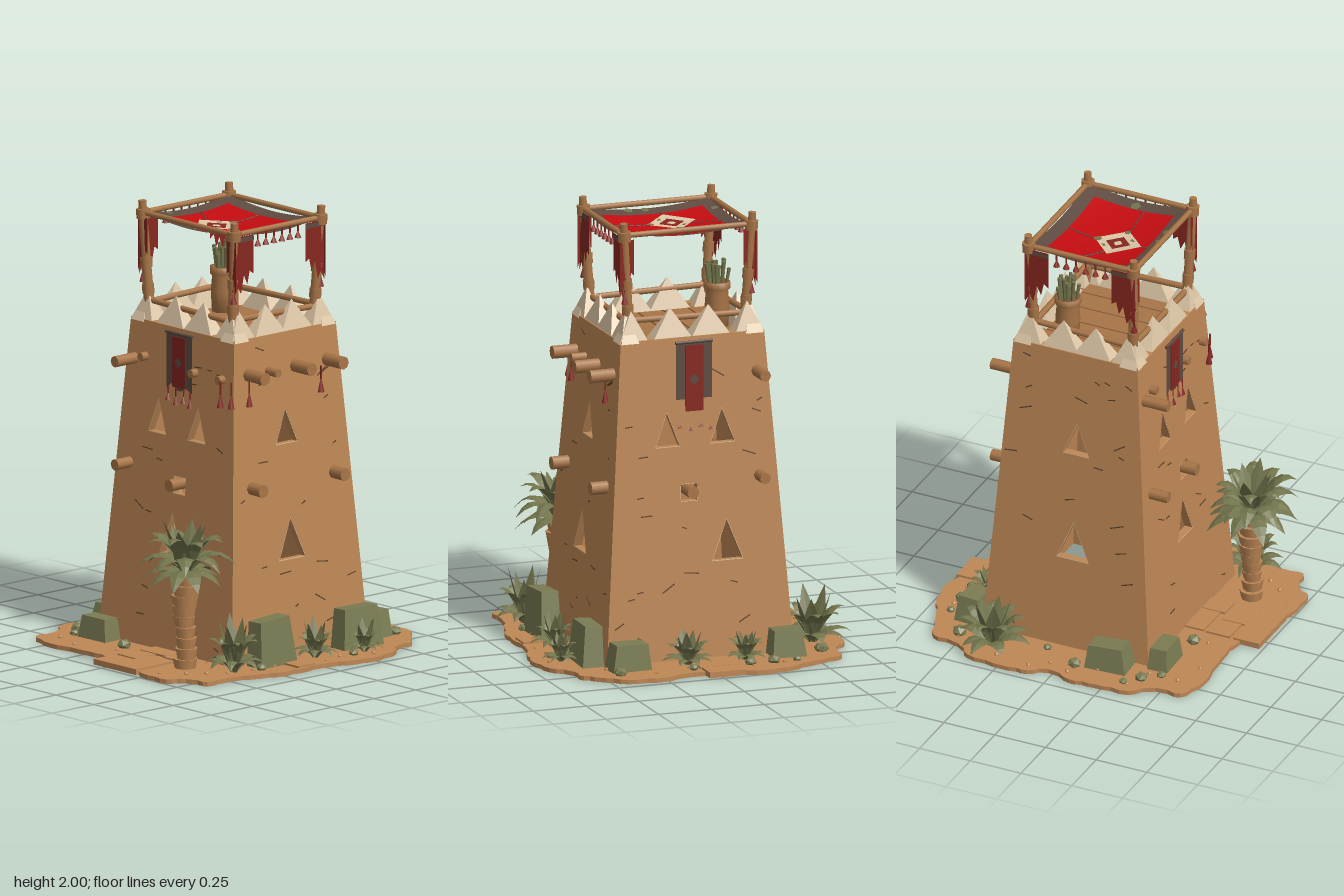
import * as THREE from 'three';

const mat = (name, color, extra = {}) => Object.assign(new THREE.MeshStandardMaterial({ color, ...extra }), { name });
const DS = { side: THREE.DoubleSide };

export function createModel() {
  const root = new THREE.Group();
  root.name = 'watchtower';
  const M = {
    clay: mat('clay', 0xbe8755),
    cream: mat('cream plaster', 0xdcc6a6, { flatShading: true }),
    earth: mat('dark earth', 0x5f432b),
    wood: mat('wood', 0xa87547),
    red: mat('red cloth', 0xc40c10, DS),
    rag: mat('dark red cloth', 0x86261f, DS),
    trim: mat('brown trim', 0x5f4b41, DS),
    stone: mat('mossy stone', 0x7b7c53, { flatShading: true }),
    leaf: mat('leaf', 0x72744c, { side: THREE.DoubleSide, flatShading: true }),
  };
  let seed = 7;
  const rnd = (a = 0, b = 1) => {
    seed = (seed * 16807) % 2147483647;
    return a + (b - a) * seed / 2147483647;
  };
  const V = (x, y, z) => new THREE.Vector3(x, y, z);
  const add = (name, geo, m, x = 0, y = 0, z = 0, parent = root) => {
    const o = new THREE.Mesh(geo, m);
    o.name = name;
    o.position.set(x, y, z);
    parent.add(o);
    return o;
  };
  const box = (name, w, h, d, m, x, y, z, p) => add(name, new THREE.BoxGeometry(w, h, d), m, x, y, z, p);
  // Round bar between two points
  const rod = (name, a, b, r, m = M.wood, p = root, r2 = r) => {
    const d = b.clone().sub(a), c = a.clone().add(b).multiplyScalar(0.5);
    const o = add(name, new THREE.CylinderGeometry(r2, r, d.length(), 8), m, c.x, c.y, c.z, p);
    o.quaternion.setFromUnitVectors(V(0, 1, 0), d.normalize());
    return o;
  };
  const poly = pts => new THREE.Shape(pts.map(p => new THREE.Vector2(p[0], p[1])));
  const tassel = (x, y, z, p = root, l = 0.07) => {
    rod('tasselCord', V(x, y, z), V(x, y - l * 0.5, z), 0.004, M.rag, p);
    add('tassel', new THREE.ConeGeometry(0.016, l * 0.6, 6), M.rag, x, y - l * 0.7, z, p);
  };

  // Ground slab with a rectangular opening under the tower
  const CZ = -0.04, H = 1.47;
  const edge = [[-.2, -.75], [-.02, -.71], [.12, -.68], [.27, -.72], [.44, -.70], [.54, -.62], [.61, -.55], [.61, -.48],
    [.69, -.38], [.72, -.24], [.70, -.12], [.66, 0], [.665, .14], [.66, .26], [.62, .38], [.58, .52], [.58, .64], [.47, .67],
    [.42, .74], [.26, .74], [.16, .70], [-.07, .64], [-.22, .63], [-.46, .65], [-.6, .6], [-.6, .48], [-.68, .38], [-.69, .22],
    [-.70, .1], [-.66, -.02], [-.71, -.1], [-.72, -.22], [-.70, -.4], [-.63, -.48], [-.61, -.61], [-.46, -.67], [-.33, -.73]];
  const outline = new THREE.CatmullRomCurve3(edge.map(p => V(p[0], -p[1], 0)), true).getPoints(148);
  const slab = poly(outline.map((p, i) => { const k = 1 - 0.012 * (i % 4 === 2); return [p.x * k, p.y * k]; }));
  slab.holes.push(poly([[-.41, -.33], [-.41, .41], [.41, .41], [.41, -.33]]));
  add('ground', new THREE.ExtrudeGeometry(slab, { depth: 0.02, bevelEnabled: false }).rotateX(-Math.PI / 2), M.clay);

  // Paving slabs
  [[.02, .41, .17, .1], [.16, .42, .1, .12], [-.01, .53, .12, .12], [.13, .56, .15, .13], [0, .67, .14, .13], [.14, .67, .14, .13],
    [-.02, -.69, .17, .1], [-.02, -.61, .18, .05], [.6, .11, .1, .1]]
    .forEach(([x, z, w, d]) => box('pavingSlab', w, 0.026, d, M.clay, x, 0.016, z));

  // Four battered walls with window openings: [x, y, width, height, isSquare]
  const X0 = .445, X1 = .34, Z0 = .41, Z1 = .305;
  const frontHoles = [[-.13, .98, .12, .16], [.13, .98, .12, .16], [0, .45, .15, .19], [.035, .73, .08, .08, 1]];
  const backHoles = [[-.13, .98, .12, .16], [.13, .98, .12, .16], [.14, .45, .15, .19], [-.035, .73, .08, .08, 1]];
  const sideHoles = [[-.02, .97, .13, .16], [-.02, .45, .16, .19]];
  const opening = ([x, y, w, h, sq], k = 1) => {
    const cy = y + h / (sq ? 2 : 3);
    const pts = sq ? [[-w / 2, y], [-w / 2, y + h], [w / 2, y + h], [w / 2, y]] : [[-w / 2, y], [0, y + h], [w / 2, y]];
    return poly(pts.map(p => [x + p[0] * k, cy + (p[1] - cy) * k]));
  };
  const merlon = new THREE.ConeGeometry(Math.SQRT1_2, 1, 4, 1).rotateY(Math.PI / 4);
  [['front', X0, X1, Z0, Z1, frontHoles], ['left', Z0, Z1, X0, X1, sideHoles],
    ['back', X0, X1, Z0, Z1, backHoles], ['right', Z0, Z1, X0, X1, sideHoles.map(h => [-h[0], ...h.slice(1)])]]
    .forEach(([n, w0, w1, d0, d1, holes], k) => {
      const g = new THREE.Group();
      g.name = n + 'Side';
      g.position.z = CZ;
      g.rotation.y = k * Math.PI / 2;
      root.add(g);
      const out = y => d0 + (d1 - d0) * y / H;
      // Extruded panel leaning with the wall, its outer face inset by gap
      const panel = (name, shape, depth, gap, m) => {
        const geo = new THREE.ExtrudeGeometry(shape, { depth, bevelEnabled: false });
        const P = geo.attributes.position;
        for (let i = 0; i < P.count; i++) P.setZ(i, P.getZ(i) - depth - gap + out(P.getY(i)));
        geo.computeVertexNormals();
        add(name, geo, m, 0, 0, 0, g);
      };
      const s = poly([[-w0, 0], [w0, 0], [w1, H], [-w1, H]]);
      holes.forEach(h => {
        s.holes.push(opening(h));
        const lining = opening(h, 1.005);
        lining.holes.push(opening(h, 0.95));
        panel('windowLining', lining, 0.075, 0.001, M.cream);
      });
      panel(n + 'Wall', s, 0.04, 0, M.clay);
      // Cracks in the plaster
      for (let i = 0; i < 24; i++) {
        const y = rnd(0.08, 1.42), x = rnd(-0.9, 0.9) * (w0 + (w1 - w0) * y / H);
        if (holes.some(h => Math.hypot(x - h[0], y - h[1] - h[3] / 2) < 0.15)) continue;
        const c = box('crack', rnd(0.02, 0.07), 0.005, 0.005, M.earth, x, y, out(y), g);
        c.rotation.set(-Math.atan((d0 - d1) / H), 0, rnd(-0.6, 0.6));
      }
      // Pointed battlements
      [-1, -0.33, 0.33, 1].forEach(t => {
        add('battlement', merlon, M.cream, t * (w1 - 0.065), H + 0.06, d1 - 0.045, g).scale.set(Math.abs(t) > 0.5 ? 0.14 : 0.19, 0.14, 0.085);
      });
      // Hanging banner on front and back
      if (k % 2 === 0) {
        const b = new THREE.Group(), L = k ? 0.34 : 0.26;
        b.name = n + 'Banner';
        b.position.set(0, 1.45, d1 + 0.02);
        g.add(b);
        rod('bannerBar', V(-.088, 0, 0), V(.088, 0, 0), 0.007, M.trim, b);
        add('bannerBorder', new THREE.ShapeGeometry(poly([[-.085, 0], [-.085, -L], [-.05, -L + .03], [0, -L - .01], [.04, -L + .02], [.085, -L], [.085, 0]])), M.trim, 0, 0, 0, b);
        box('bannerCentre', 0.085, L - 0.03, 0.006, M.rag, 0, -L / 2, 0.001, b);
        add('bannerEmblem', new THREE.CircleGeometry(0.025, 4), M.trim, 0, -L / 2, 0.006, b);
        [-.07, -.02, .03, .075].forEach((x, i) => tassel(x, -L + .01, 0, b, 0.06 + 0.015 * (i % 2)));
      }
    });

  // Roof deck and railing
  box('roofDeck', 0.62, 0.03, 0.55, M.clay, 0, 1.43, CZ);
  for (let i = 0; i < 5; i++) box('deckPlank', 0.112, 0.012, 0.5, M.wood, -0.24 + i * 0.12, 1.45, CZ);

  // Projecting beams
  [1.29, 0.82].forEach(y => [[0.40, 1], [-0.47, -1]].forEach(([z, s]) => rod('beam', V(-.3, y, z - s * .2), V(-.3, y, z), 0.026)));
  [[1.31, -.28], [1.31, -.09], [1.31, .07], [1.31, .19], [.8, -.29], [.8, .2]].forEach(([y, z], i) => {
    rod('beam', V(.25, y, z), V(i === 2 ? .42 : .465, y, z), i === 2 ? 0.02 : 0.03);
  });
  rod('beam', V(.035, .78, .2), V(.035, .78, .38), 0.028);
  rod('beam', V(.035, .78, -.3), V(.035, .78, -.45), 0.028);
  [[-.23, 1.31], [.1, 1.29], [.28, 1.29]].forEach(([x, y]) => rod('beamPeg', V(x, y, .2), V(x, y, .31), 0.02));
  [[.37, .2], [.37, -.23], [.3, .31], [.35, .29]].forEach(([x, z]) => tassel(x, 1.29, z, root, 0.12));

  // Canopy frame
  const post = (sx, sz, y) => V(sx * (.27 + .035 * (y - 1.42) / .58), y, -.03 + sz * (.24 + .02 * (y - 1.42) / .58));
  const corners = [[-1, -1], [1, -1], [1, 1], [-1, 1]];
  corners.forEach(([sx, sz], i) => {
    const [nx, nz] = corners[(i + 1) % 4];
    rod('canopyPost', post(sx, sz, 1.43), post(sx, sz, 2.0), 0.025, M.wood, root, 0.018);
    [1.6, 1.72, 1.94].forEach(y => rod('postBinding', post(sx, sz, y - .022), post(sx, sz, y + .022), y > 1.9 ? 0.031 : 0.027));
    rod('canopyBeam', post(sx, sz, 1.945), post(nx, nz, 1.945), 0.013);
    rod('railing', post(sx, sz, 1.54), post(nx, nz, 1.55), 0.014);
    // Tattered cloths beside each post, with a brown hem
    const rag = (w, h) => new THREE.ShapeGeometry(poly([[0, 0], [0, -h], [w * .2, -h * .85], [w * .35, -h * .97], [w * .5, -h * .66], [w * .68, -h * .82], [w * .8, -h * .6], [w, -h * .66], [w, 0]]));
    const side = add('sideCloth', rag(.115, .27), M.rag, sx * .315, 1.935, -.03 + sz * .27);
    side.rotation.y = sz * Math.PI / 2;
    const hem = add('sideClothHem', new THREE.PlaneGeometry(.115, .02), M.trim, sx * .318, 1.92, -.03 + sz * .212);
    hem.rotation.y = Math.PI / 2;
    const face = add('frontCloth', rag(.065, .25), M.rag, sx * .325, 1.925, -.03 + sz * .268);
    face.rotation.y = sx > 0 ? Math.PI : 0;
    tassel(sx * .3, 1.73, -.03 + sz * .26, root, 0.1);
  });
  for (let i = 0; i < 6; i++) [-1, 1].forEach(s => tassel(s * .305, 1.935, -.15 + i * .048, root, 0.06));

  // Sagging canopy: brown border, rounded red field, cream diamond
  const sag = (x, z) => 1.89 + .03 * ((x / .3) ** 2 + ((z + .03) / .255) ** 2);
  const drape = (geo, dx, dz, lift) => {
    const P = geo.rotateX(-Math.PI / 2).translate(dx, 0, dz).attributes.position;
    for (let i = 0; i < P.count; i++) P.setY(i, sag(P.getX(i), P.getZ(i)) + lift);
    geo.computeVertexNormals();
    return geo;
  };
  const NX = 40, NZ = 34, cloth = new THREE.PlaneGeometry(.6, .51, NX, NZ);
  for (let j = 0; j < NZ; j++) for (let i = 0; i < NX; i++) {
    const dx = Math.abs(i + .5 - NX / 2) - 14.2, dz = Math.abs(j + .5 - NZ / 2) - 11.2;
    cloth.addGroup((j * NX + i) * 6, 6, Math.hypot(Math.max(dx, 0), Math.max(dz, 0)) < 2 ? 1 : 0);
  }
  add('canopy', drape(cloth, 0, -.03, 0), [M.trim, M.red]);
  const DX = -.04, DZ = .025;
  add('canopyDiamond', drape(new THREE.RingGeometry(.058, .115, 4, 3), DX, DZ, .005), M.cream);
  add('canopyInnerDiamond', drape(new THREE.RingGeometry(.024, .06, 4, 3), DX, DZ, .006), M.rag);
  add('canopyDot', drape(new THREE.CircleGeometry(.022, 6), DX, DZ, .006), M.cream);
  // Faded olive patches on the diamond and border
  [[DX, DZ - .1, .02], [DX + .1, DZ, .016], [DX + .045, DZ + .055, .016], [DX - .045, DZ - .055, .016], [.255, -.03, .025], [.1, .2, .022], [.02, .2, .02], [-.27, .1, .018]]
    .forEach(([x, z, r]) => add('canopyPatch', drape(new THREE.CircleGeometry(r, 5), x, z, .007), M.leaf));
  [[-.04, -.09, -.03, -.22], [.07, .03, .24, .02], [-.13, .0, -.25, -.07], [-.04, .14, -.04, .17]].forEach(([a, b, c, d]) => {
    for (let i = 0; i < 5; i++) {
      const at = t => { const x = a + (c - a) * t, z = b + (d - b) * t; return V(x, sag(x, z) + .002, z); };
      rod('canopySeam', at(i / 5), at((i + 0.8) / 5), 0.003, M.trim);
    }
  });

  // Arrow basket
  const bx = -.19, bz = -.15;
  const profile = [[0, 0], [.05, 0], [.056, .1], [.05, .17], [.06, .18], [.06, .21], [.045, .21], [.04, .15], [0, .15]];
  add('basket', new THREE.LatheGeometry(profile.map(p => new THREE.Vector2(...p)), 12), M.wood, bx, 1.45, bz);
  for (let i = 0; i < 14; i++) {
    const a = i * 2.4, r = .01 + .002 * i, c = Math.cos(a) * r, s = Math.sin(a) * r;
    rod('arrow', V(bx + c, 1.6, bz + s), V(bx + c * 1.6, rnd(1.72, 1.765), bz + s * 1.6), 0.005, M.leaf, root, 0.009);
  }

  // Leaf blade arching outward along +x, folded at the midrib
  const blade = (L, a, b, W) => {
    const v = [], idx = [], n = 6;
    for (let i = 0; i <= n; i++) {
      const t = i / n, w = W * Math.sin(Math.PI * (0.12 + 0.88 * t)), y = a * t - b * t * t;
      v.push(L * t, y - w * .25, -w, L * t, y, 0, L * t, y - w * .25, w);
      if (i < n) for (const k of [0, 1]) {
        const q = i * 3 + k;
        idx.push(q, q + 1, q + 3, q + 1, q + 4, q + 3);
      }
    }
    const g = new THREE.BufferGeometry();
    g.setAttribute('position', new THREE.Float32BufferAttribute(v, 3));
    g.setIndex(idx);
    g.computeVertexNormals();
    return g;
  };
  const clump = (name, x, y, z, layers, W) => layers.forEach(([n, L, a, b], k) => {
    for (let i = 0; i < n; i++) {
      const f = rnd(.85, 1.08);
      add(name, blade(L * f, a * f, b * f, W), M.leaf, x, y, z).rotation.y = (i + k * .5 + rnd(-.15, .15)) / n * Math.PI * 2;
    }
  });
  [[-.57, -.34, .17, .24], [-.18, -.54, .1, .15], [.09, -.53, .12, .16], [.6, -.28, .09, .15], [.54, -.04, .11, .18], [.51, .42, .14, .25]]
    .forEach(([x, z, r, h]) => clump('bushLeaf', x, .015, z, [[5, r * .5, h, 0], [7, r * .85, 1.6 * h, 1.0 * h], [8, r, .95 * h, .8 * h]], r * .22));

  // Palm tree
  const px = .3, pz = .52;
  for (let i = 0; i < 9; i++) {
    const r = [.05, .045, .042, .042, .044, .05, .056, .058, .05][i];
    add('palmTrunkRing', new THREE.CylinderGeometry(r + .006, r - .004, .056, 9), M.clay, px + .008 * Math.sin(i), .035 + i * .048, pz).rotation.y = i * .35;
  }
  clump('palmLeaf', px, .44, pz, [[6, .1, .29, .04], [8, .19, .5, .33], [9, .22, .38, .34], [9, .2, .18, .22]], .042);

  // Boulders and pebbles
  const chunk = new THREE.CylinderGeometry(.56, .7, 1, 4).rotateY(Math.PI / 4).translate(0, .5, 0);
  [[-.38, -.52, .16, .13, .12], [.37, -.52, .19, .13, .11], [.5, -.33, .1, .19, .23], [.51, .19, .1, .22, .22], [-.51, .21, .13, .12, .2], [-.38, .42, .18, .11, .1]]
    .forEach(([x, z, w, h, d]) => {
      const o = add('boulder', chunk, M.stone, x, .01, z);
      o.scale.set(w, h, d);
      o.rotation.set(rnd(-.06, .06), rnd(-.08, .08), rnd(-.06, .06));
    });
  const pebble = new THREE.IcosahedronGeometry(1, 0);
  [[-.55, -.51, .035], [-.28, -.63, .03], [-.17, -.63, .028], [.44, -.61, .03], [.1, -.63, .022], [-.58, .07, .032], [-.5, -.1, .02], [-.56, .39, .03],
    [-.17, .46, .033], [.56, .3, .025], [-.62, .33, .02], [-.39, -.63, .02], [.62, -.2, .022], [-.5, .46, .022]]
    .forEach(([x, z, r], i) => { const o = add('pebble', pebble, M.stone, x, .02 + r * .4, z); o.scale.set(r, r * .8, r); o.rotation.y = i; });
  for (let i = 0; i < 34; i++) {
    const a = i / 34 * Math.PI * 2, e = outline[Math.floor(i / 34 * 148)], k = rnd(.82, .94);
    add('grit', pebble, M.clay, e.x * k, .022, -e.y * k).scale.setScalar(.007 + .005 * Math.abs(Math.sin(a * 5)));
  }
  return root;
}
